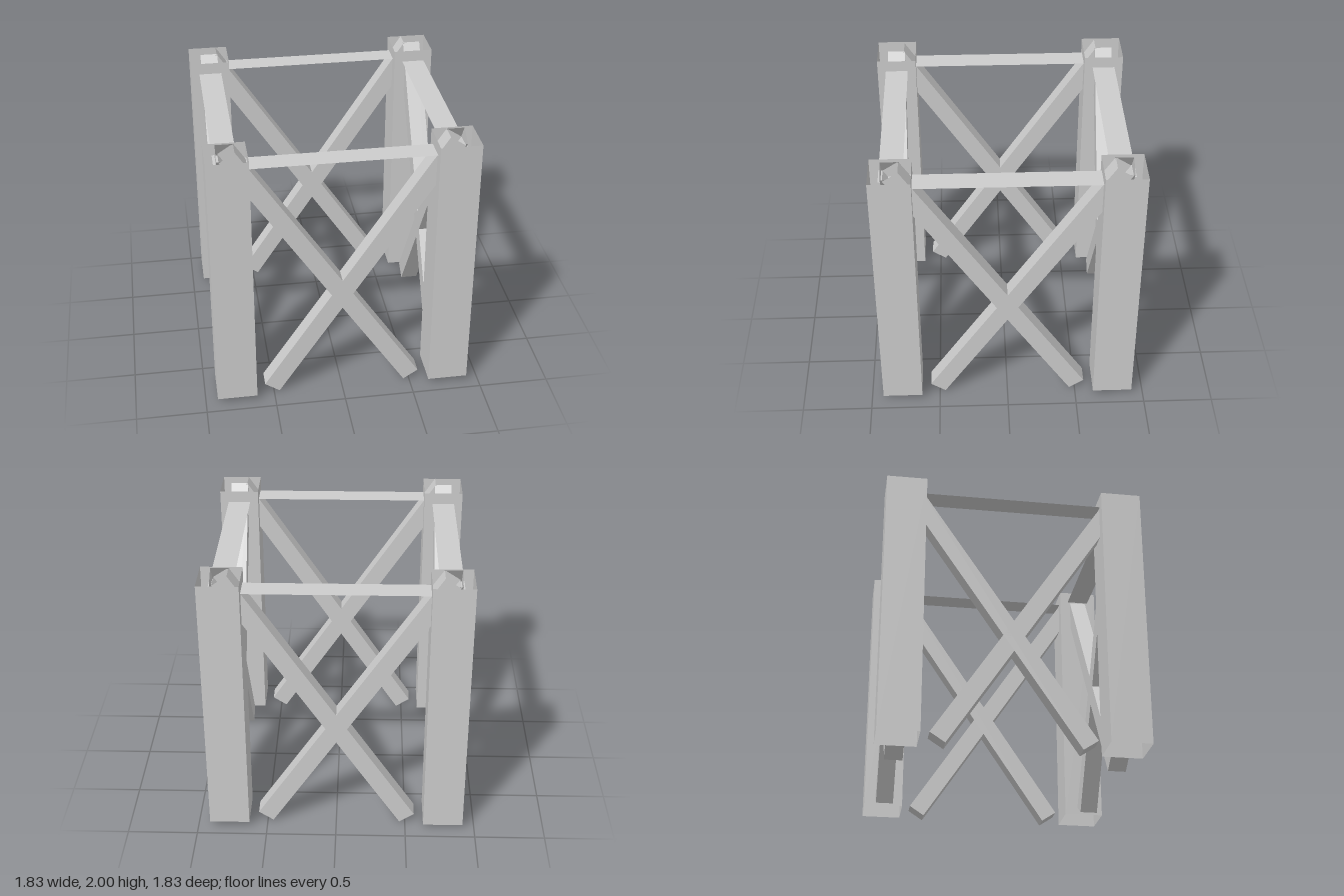
import * as THREE from 'three';

const grey = new THREE.MeshStandardMaterial({ color: 0xcccccc, side: THREE.DoubleSide });
grey.name = 'grey';

// Box without some of its faces (0 +x, 1 -x, 2 +y, 3 -y, 4 +z, 5 -z)
function openBox(w, h, d, openFaces) {
  const g = new THREE.BoxGeometry(w, h, d);
  const index = Array.from(g.index.array);
  g.setIndex(index.filter((_, i) => !openFaces.includes(Math.floor(i / 6))));
  g.clearGroups();
  return g;
}

function addMesh(parent, name, geometry, x, y, z) {
  const mesh = new THREE.Mesh(geometry, grey);
  mesh.name = name;
  mesh.position.set(x, y, z);
  parent.add(mesh);
  return mesh;
}

export function createModel() {
  const model = new THREE.Group();
  model.name = 'bracedFrame';

  const offset = 0.772;          // centre line of every side
  const foot = [0.512, 0.037];   // lower end of a brace
  const head = [-0.767, 1.965];  // upper end of a brace
  const dx = foot[0] - head[0];
  const dy = head[1] - foot[1];

  const postGeometry = openBox(0.285, 1.925, 0.285, [2, 3]);
  const braceGeometry = openBox(0.126, Math.hypot(dx, dy), 0.126, [2]);
  const railGeometry = new THREE.PlaneGeometry(1.54, 0.163).rotateX(-Math.PI / 2);

  // Four equal sides, each with one post, two crossed braces and a flat rail
  for (let i = 0; i < 4; i++) {
    const side = new THREE.Group();
    side.name = 'side' + (i + 1);
    side.rotation.y = i * Math.PI / 2;
    model.add(side);

    // Hollow corner post
    addMesh(side, 'post', postGeometry, offset, 1.0025, offset);

    // Crossed braces, open at the upper end
    for (const s of [1, -1]) {
      const brace = addMesh(side, s > 0 ? 'braceRising' : 'braceFalling', braceGeometry,
        s * (foot[0] + head[0]) / 2, (foot[1] + head[1]) / 2, offset);
      brace.rotation.z = s * Math.atan2(dx, dy);
    }

    // Flat top rail
    addMesh(side, 'topRail', railGeometry, 0, 1.88, offset);
  }
  return model;
}
